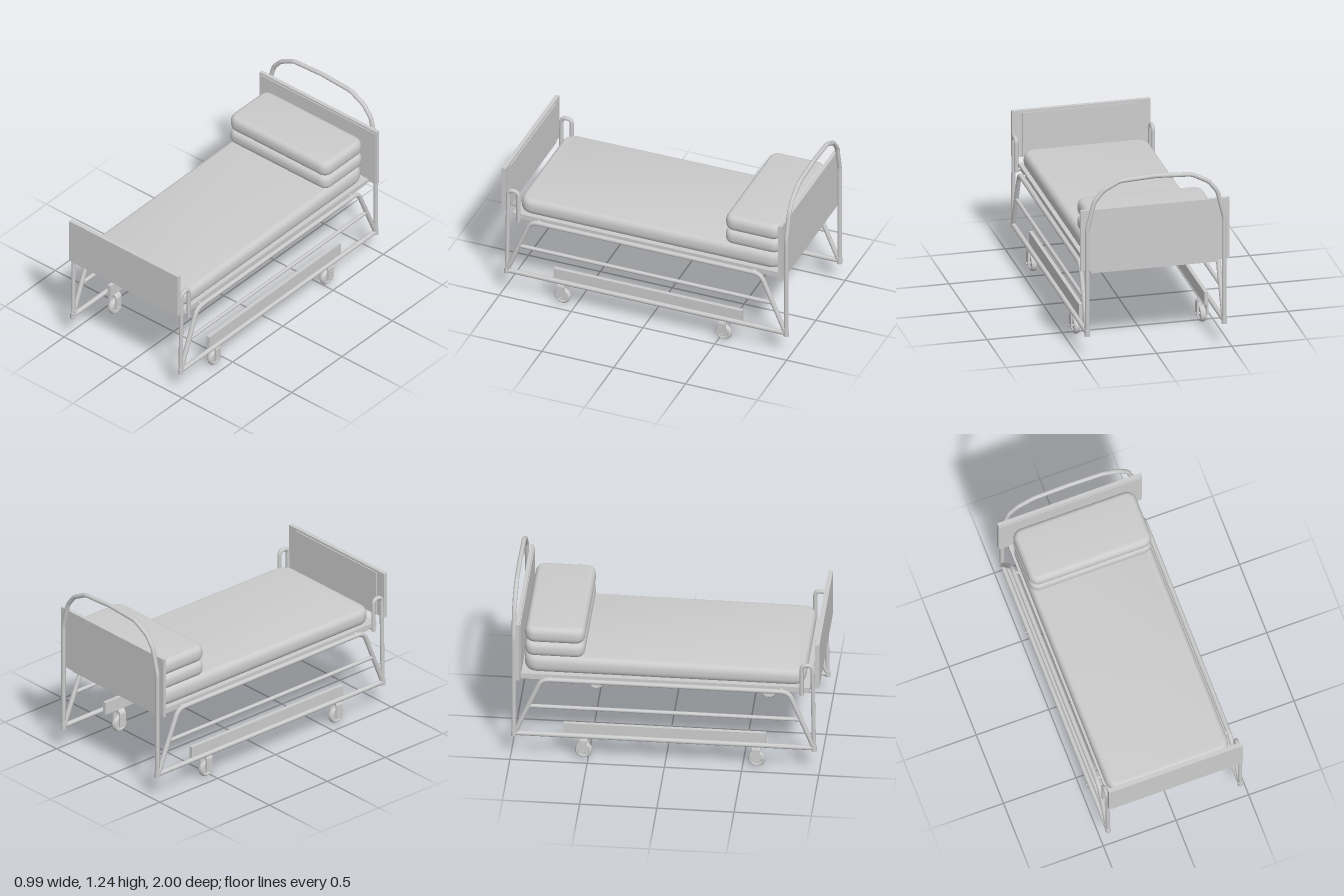
import * as THREE from 'three';
import { toCreasedNormals } from 'three/addons/utils/BufferGeometryUtils.js';

const material = new THREE.MeshStandardMaterial({ color: 0xcccccc });

export function createModel() {
  const bed = new THREE.Group();
  bed.name = 'hospitalBed';

  const add = (name, geometry, x = 0, y = 0, z = 0, parent = bed) => {
    const mesh = new THREE.Mesh(geometry, material);
    mesh.name = name;
    mesh.position.set(x, y, z);
    parent.add(mesh);
    return mesh;
  };

  // Box given by its extents
  const box = (name, x0, x1, y0, y1, z0, z1) =>
    add(name, new THREE.BoxGeometry(x1 - x0, y1 - y0, z1 - z0), (x0 + x1) / 2, (y0 + y1) / 2, (z0 + z1) / 2);

  // Straight capped bar between two points
  const bar = (name, a, b, r) => {
    const from = new THREE.Vector3(...a), to = new THREE.Vector3(...b);
    const dir = to.clone().sub(from);
    const mesh = add(name, new THREE.CylinderGeometry(r, r, dir.length(), 12));
    mesh.position.copy(from).add(to).multiplyScalar(0.5);
    mesh.quaternion.setFromUnitVectors(new THREE.Vector3(0, 1, 0), dir.normalize());
  };

  // Tube along a polyline with softened corners
  const bentTube = (name, points, r, bend, segments) => {
    const p = points.map((q) => new THREE.Vector3(...q));
    const path = new THREE.CurvePath();
    let start = p[0];
    for (let i = 1; i < p.length - 1; i++) {
      const towards = (q) => p[i].clone().add(q.clone().sub(p[i]).setLength(bend));
      const before = towards(p[i - 1]), after = towards(p[i + 1]);
      path.add(new THREE.LineCurve3(start, before));
      path.add(new THREE.QuadraticBezierCurve3(before, p[i], after));
      start = after;
    }
    path.add(new THREE.LineCurve3(start, p[p.length - 1]));
    add(name, new THREE.TubeGeometry(path, segments, r, 10));
  };

  // Soft cushion: rounded plan with a rounded rim; the top tilts by `drop` towards +z
  const cushion = (name, hx, y0, y1, z0, z1, corner, rim, drop = 0) => {
    const w = hx - rim, l = (z1 - z0) / 2 - rim, c = corner;
    const plan = new THREE.Shape();
    plan.moveTo(-w + c, -l);
    plan.lineTo(w - c, -l).quadraticCurveTo(w, -l, w, -l + c);
    plan.lineTo(w, l - c).quadraticCurveTo(w, l, w - c, l);
    plan.lineTo(-w + c, l).quadraticCurveTo(-w, l, -w, l - c);
    plan.lineTo(-w, -l + c).quadraticCurveTo(-w, -l, -w + c, -l);
    const thick = (y1 - y0) * 0.42;
    let g = new THREE.ExtrudeGeometry(plan, {
      depth: y1 - y0 - 2 * thick, bevelThickness: thick, bevelSize: rim, bevelSegments: 6, curveSegments: 8,
    });
    g.rotateX(-Math.PI / 2).translate(0, thick, 0);
    const pos = g.attributes.position;
    for (let i = 0; i < pos.count; i++) {
      const rise = pos.getY(i) / (y1 - y0);
      pos.setY(i, pos.getY(i) - drop * rise * (pos.getZ(i) / (z1 - z0) + 0.5));
    }
    g = toCreasedNormals(g, 0.9);
    add(name, g, 0, y0, (z0 + z1) / 2);
  };

  // Boards with their slightly raised inner panels
  box('headboard', -0.495, 0.495, 0.6, 1.02, -0.965, -0.94);
  box('headboardPanel', -0.485, 0.485, 0.6, 1.006, -0.94, -0.934);
  box('footboard', -0.46, 0.46, 0.64, 0.96, 0.972, 1);
  box('footboardPanel', -0.39, 0.39, 0.64, 0.945, 0.965, 0.972);

  // Bed base and bedding
  box('bedBase', -0.43, 0.43, 0.588, 0.615, -0.945, 0.935);
  box('bedBaseUnderside', -0.42, 0.42, 0.57, 0.588, -0.935, 0.925);
  cushion('mattress', 0.42, 0.615, 0.738, -0.92, 0.905, 0.06, 0.035, 0.014);
  cushion('lowerPillow', 0.42, 0.738, 0.836, -0.915, -0.525, 0.035, 0.03);
  cushion('upperPillow', 0.42, 0.838, 0.947, -0.915, -0.525, 0.035, 0.035);

  // Head hoop, one tube from foot to foot
  const half = [[0.455, 0.16], [0.455, 0.9], [0.41, 1.08], [0.35, 1.155], [0.24, 1.212], [0, 1.225]];
  const hoop = [...half, ...half.slice(0, -1).reverse().map(([x, y]) => [-x, y])];
  bentTube('headHoop', hoop.map(([x, y]) => [x, y, -0.98]), 0.015, 0.02, 140);

  // Caster fork: an upside-down U strap
  const fork = new THREE.Shape();
  fork.moveTo(-0.037, 0.05);
  fork.lineTo(-0.025, 0.05).lineTo(-0.025, 0.13).quadraticCurveTo(-0.025, 0.14, -0.015, 0.14);
  fork.lineTo(0.015, 0.14).quadraticCurveTo(0.025, 0.14, 0.025, 0.13).lineTo(0.025, 0.05);
  fork.lineTo(0.037, 0.05).lineTo(0.037, 0.135).quadraticCurveTo(0.035, 0.152, 0.015, 0.165);
  fork.lineTo(-0.015, 0.165).quadraticCurveTo(-0.035, 0.152, -0.037, 0.135);
  const forkGeometry = new THREE.ExtrudeGeometry(fork, { depth: 0.05, bevelEnabled: false, curveSegments: 5 });
  forkGeometry.translate(0, 0, -0.025);

  // Wheel with a rounded tyre and a recessed hub
  const wheelProfile = [[0, -0.012], [0.033, -0.012], [0.036, -0.019], [0.048, -0.018], [0.054, -0.01],
    [0.056, 0], [0.054, 0.01], [0.048, 0.018], [0.036, 0.019], [0.033, 0.012], [0, 0.012]];
  const wheelGeometry = toCreasedNormals(
    new THREE.LatheGeometry(wheelProfile.map(([r, h]) => new THREE.Vector2(r, h)), 24), 0.8);
  wheelGeometry.rotateZ(Math.PI / 2);
  const axleGeometry = new THREE.CylinderGeometry(0.008, 0.008, 0.092, 10).rotateZ(Math.PI / 2);

  for (const s of [-1, 1]) {
    const x = 0.455 * s;
    // Foot leg that hooks over and comes down to the base
    bentTube('footLeg', [[x, 0.16, 0.965], [x, 0.8, 0.955], [x, 0.8, 0.885], [x, 0.575, 0.885]], 0.014, 0.033, 80);
    // Side truss with slanted ends
    bentTube('sideTruss', [[x, 0.178, 0.965], [x, 0.592, 0.8], [x, 0.592, -0.8], [x, 0.178, -0.975]], 0.016, 0.05, 100);
    bar('middleRail', [x, 0.388, 0.88], [x, 0.388, -0.885], 0.013);
    bar('bottomRail', [x, 0.178, 0.965], [x, 0.178, -0.98], 0.016);
    for (const z of [0.966, -0.98]) bar('cornerFoot', [x, 0.157, z], [x, 0.2, z], 0.018);
    // Brackets that tie the truss to the base
    for (const z of [0.885, 0.75, -0.75]) bar('baseBracket', [0.42 * s, 0.592, z], [x, 0.592, z], 0.012);

    // Plank carrying the casters
    const plankX = 0.4175 * s;
    box('casterPlank', plankX - 0.0125, plankX + 0.0125, 0.165, 0.252, -0.66, 0.65);
    for (const z of [0.59, -0.53]) {
      const caster = new THREE.Group();
      caster.name = 'caster';
      caster.position.set(0.42 * s, 0, z);
      bed.add(caster);
      add('fork', forkGeometry, 0, 0, 0, caster);
      add('wheel', wheelGeometry, 0, 0.056, 0, caster);
      add('axle', axleGeometry, 0, 0.056, 0, caster);
    }
  }
  return bed;
}
